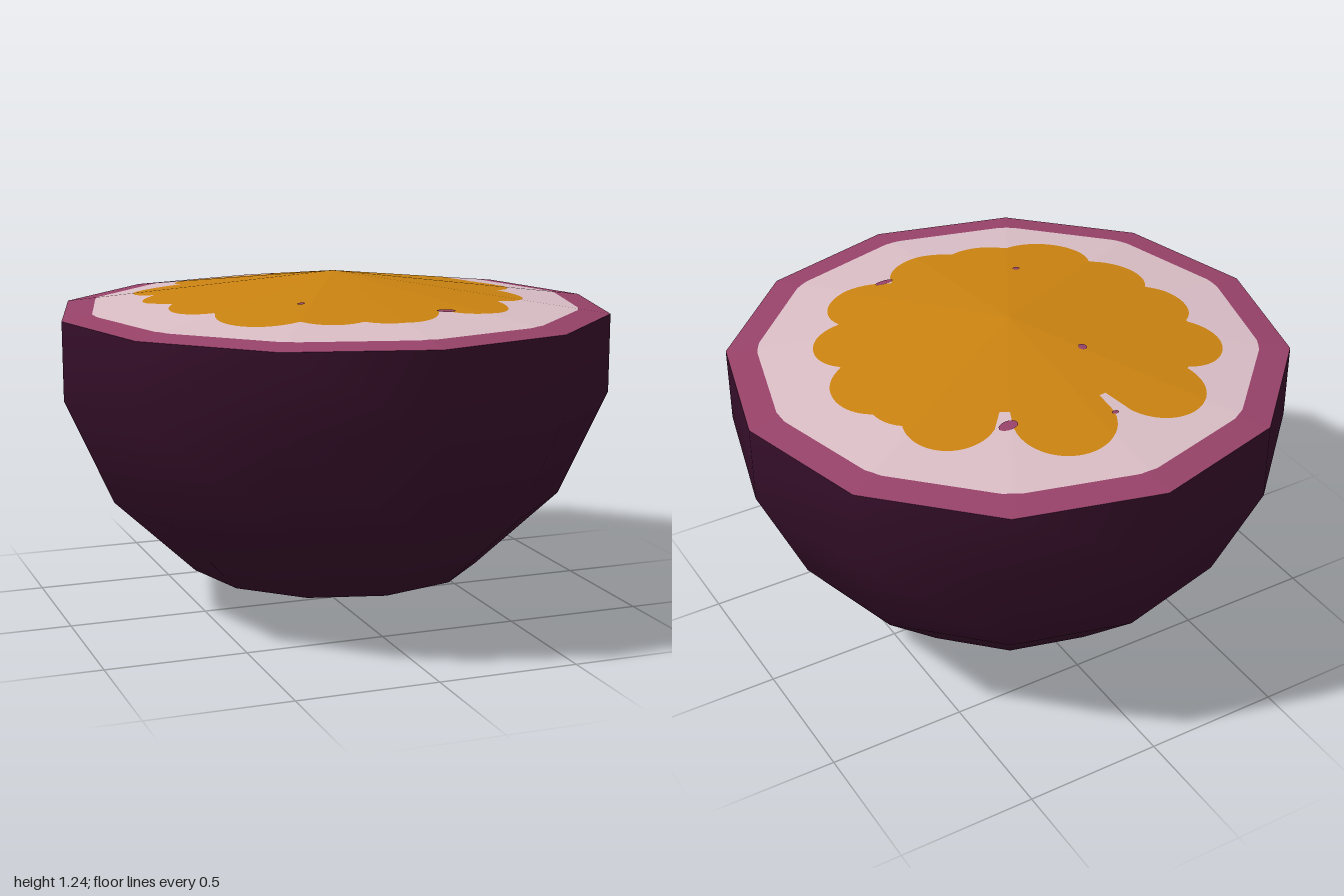
import * as THREE from 'three';

const SIDES = 12, STEPS = 360, RIM_Y = 1.1, PEAK_Y = 1.235;

// Radius of the twelve-sided outline at an angle, measured from +z towards +x
function outline(a) {
  const step = (2 * Math.PI) / SIDES;
  const local = ((a % step) + step) % step - step / 2;
  return Math.cos(step / 2) / Math.cos(local);
}

// Rounded pulp sacs around the edge: x, z, radius
const lobes = [
  [-0.27, -0.53, 0.17], [0.11, -0.55, 0.175], [0.43, -0.35, 0.16], [0.47, -0.18, 0.16],
  [0.52, -0.04, 0.18], [0.48, 0.23, 0.155], [0.31, 0.43, 0.17], [0, 0.51, 0.18],
  [-0.19, 0.49, 0.16], [-0.38, 0.4, 0.18], [-0.49, 0.16, 0.165], [-0.525, -0.08, 0.16],
  [-0.5, -0.33, 0.155],
];

// Scalloped pulp edge: the farthest lobe hit along a ray from the centre
function pulpEdge(a) {
  const dx = Math.sin(a), dz = Math.cos(a);
  let r = 0.5;
  for (const [x, z, radius] of lobes) {
    const along = x * dx + z * dz;
    const off = x * dz - z * dx;
    if (along > 0 && Math.abs(off) < radius) {
      r = Math.max(r, along + Math.sqrt(radius * radius - off * off));
    }
  }
  return r;
}

const fleshEdge = (a) => Math.min(0.893 * outline(a), 0.885);

// Height of the shallow pyramid that forms the cut face
const faceY = (r, a) => PEAK_Y - (PEAK_Y - RIM_Y) * r / outline(a);

// Band of the cut face between two edge curves
function band(inner, outer) {
  const pos = [], index = [];
  for (let i = 0; i <= STEPS; i++) {
    const a = (i / STEPS) * 2 * Math.PI;
    for (const r of [inner(a), outer(a)]) {
      pos.push(r * Math.sin(a), faceY(r, a), r * Math.cos(a));
    }
    if (i < STEPS) {
      const k = i * 2;
      index.push(k, k + 1, k + 3);
      if (inner(a) > 0) index.push(k, k + 3, k + 2);
    }
  }
  const g = new THREE.BufferGeometry();
  g.setAttribute('position', new THREE.Float32BufferAttribute(pos, 3));
  g.setIndex(index);
  g.computeVertexNormals();
  return g;
}

// Small flat fleck laid just above the cut face
function fleck(x, z, rx, rz) {
  const g = new THREE.CircleGeometry(1, 16);
  g.rotateX(-Math.PI / 2);
  g.scale(rx, 1, rz);
  g.translate(x, 0, z);
  const p = g.attributes.position;
  for (let i = 0; i < p.count; i++) {
    const px = p.getX(i), pz = p.getZ(i);
    p.setY(i, faceY(Math.hypot(px, pz), Math.atan2(px, pz)) + 0.003);
  }
  g.computeVertexNormals();
  return g;
}

export function createModel() {
  const group = new THREE.Group();
  const material = (name, color) => {
    const m = new THREE.MeshStandardMaterial({ color });
    m.name = name;
    return m;
  };
  const skin = material('dark purple skin', 0x360f2a);
  const rind = material('plum rind', 0x964268);
  const flesh = material('pale pink flesh', 0xd8bcc4);
  const pulp = material('golden pulp', 0xc98210);
  const add = (name, geometry, mat) => {
    const mesh = new THREE.Mesh(geometry, mat);
    mesh.name = name;
    group.add(mesh);
  };

  // Faceted bowl of the halved fruit
  const profile = [[0, 0], [0.535, 0.16], [0.83, 0.44], [1, 0.82], [1, RIM_Y]]
    .map(([x, y]) => new THREE.Vector2(x, y));
  add('skin', new THREE.LatheGeometry(profile, SIDES), skin);

  // Cut face, from the rim inwards
  add('rind', band(fleshEdge, outline), rind);
  add('flesh', band(pulpEdge, fleshEdge), flesh);
  add('pulp', band(() => 0, pulpEdge), pulp);

  // Gaps between the pulp sacs
  const flecks = [
    [0.29, -0.49, 0.035, 0.022], [0.2, 0.565, 0.035, 0.016], [-0.15, -0.25, 0.016, 0.016],
    [-0.255, 0.375, 0.014, 0.012], [-0.06, -0.595, 0.014, 0.008],
  ];
  for (const f of flecks) add('pulpGap', fleck(...f), rind);

  return group;
}
